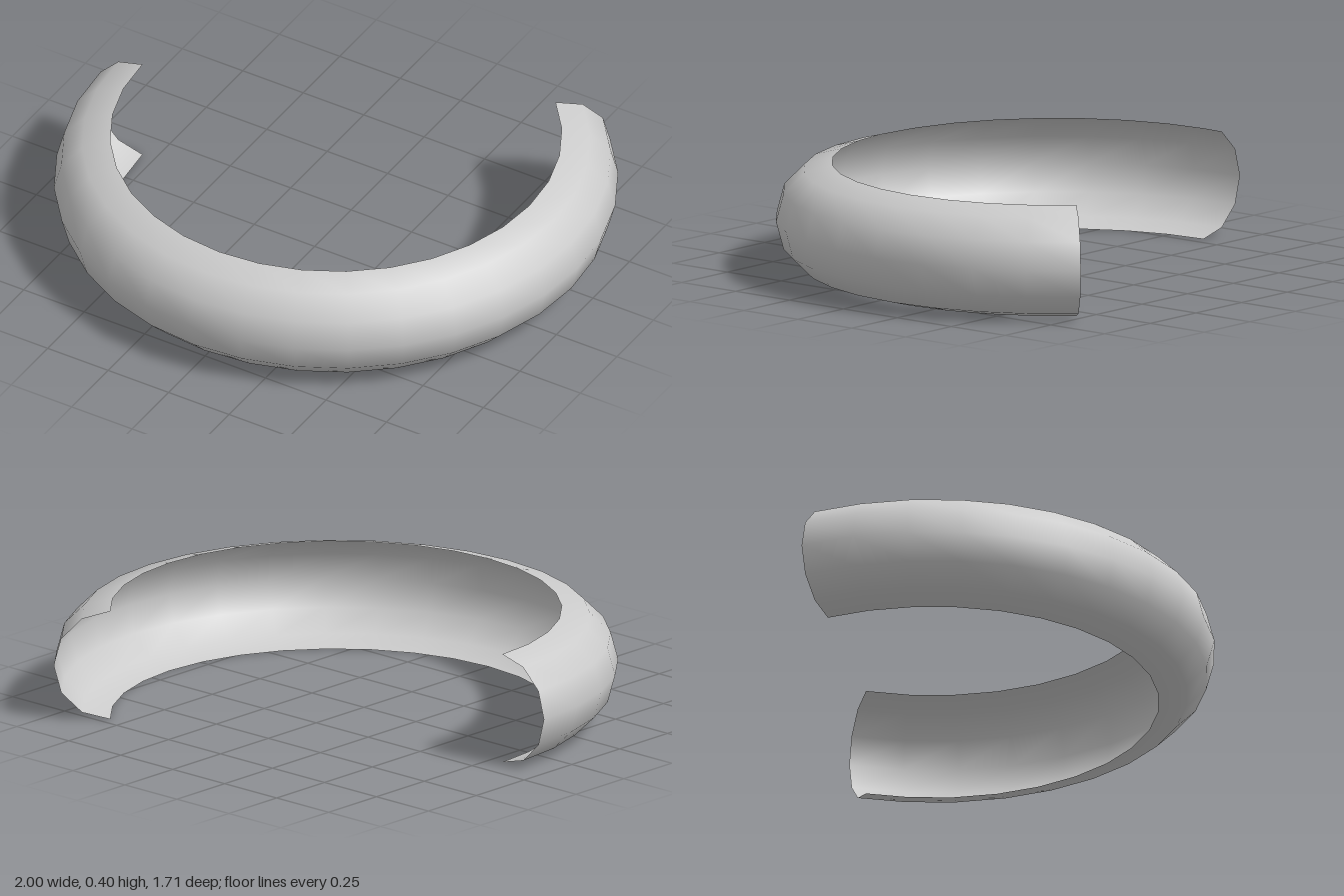
import * as THREE from 'three';

const RING_RADIUS = 0.8;
const TUBE_RADIUS = 0.2;
const TUBE_SEGMENTS = 6;
const ARC_SEGMENTS = 20;

export function createModel() {
  const group = new THREE.Group();
  group.name = 'openRing';

  // Outer half of the tube's cross-section, bottom to top
  const profile = [];
  for (let i = 0; i <= TUBE_SEGMENTS; i++) {
    const a = -Math.PI / 2 + (i / TUBE_SEGMENTS) * Math.PI;
    profile.push(new THREE.Vector2(
      RING_RADIUS + TUBE_RADIUS * Math.cos(a),
      TUBE_RADIUS + TUBE_RADIUS * Math.sin(a)
    ));
  }

  // Swept 225 degrees from the right side, round the front, to the left rear
  const shell = new THREE.Mesh(
    new THREE.LatheGeometry(profile, ARC_SEGMENTS, -Math.PI / 2, Math.PI * 1.25),
    new THREE.MeshStandardMaterial({ color: 0xcccccc, side: THREE.DoubleSide })
  );
  shell.name = 'halfTubeShell';
  shell.position.z = -(1 - Math.SQRT1_2) / 2; // centres the open arc in depth
  group.add(shell);

  return group;
}
